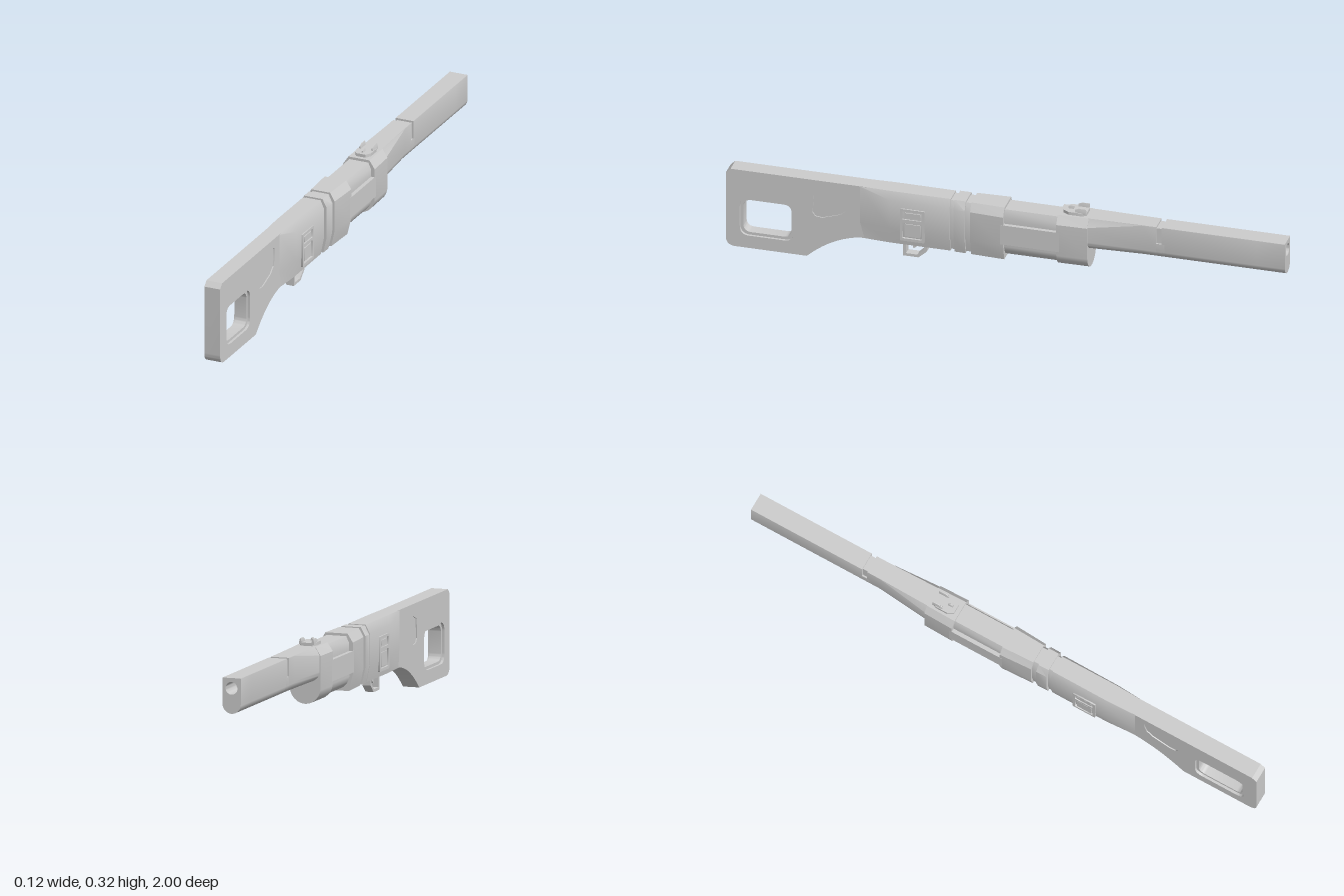
import * as THREE from 'three';
import { toCreasedNormals } from 'three/addons/utils/BufferGeometryUtils.js';

const material = new THREE.MeshStandardMaterial({ color: 0xcccccc });
const V = (p) => p.map(([x, y]) => new THREE.Vector2(x, y));

function add(parent, name, geometry) {
  const mesh = new THREE.Mesh(toCreasedNormals(geometry, 0.5), material);
  mesh.name = name;
  parent.add(mesh);
  return mesh;
}

// Full outline, counter-clockwise, from its +x half listed top to bottom
const mirrorOutline = (half) => [...half].reverse().concat(half.map(([x, y]) => [-x, y]));

// Half outline: sloped shoulder, straight side, then a sloped or round belly
function flatHalf(top, w, yTop, yShoulder, yLow, bottom, yBottom) {
  return [[top, yTop], [w, yShoulder], [w, yLow], [bottom, yBottom]];
}
function arcHalf(w, yLow, yBottom) {
  return Array.from({ length: 10 }, (_, k) => {
    const a = (k / 9) * 1.5;
    return [w * Math.cos(a), yLow - (yLow - yBottom) * Math.sin(a)];
  });
}
function roundHalf(top, w, yTop, yShoulder, yLow, yBottom) {
  return [[top, yTop], [w, yShoulder], ...arcHalf(w, yLow, yBottom)];
}

// Capped loft through [z, halfOutline] sections, ordered from back (+z) to muzzle
function loft(sections) {
  const pos = [], index = [];
  const rings = sections.map(([z, half]) => ({ z, pts: mirrorOutline(half) }));
  const n = rings[0].pts.length;
  rings.forEach(({ z, pts }) => pts.forEach(([x, y]) => pos.push(x, y, z)));
  for (let i = 0; i < rings.length - 1; i++) {
    for (let j = 0; j < n; j++) {
      const a = i * n + j, b = i * n + ((j + 1) % n), c = b + n, d = a + n;
      index.push(a, d, b, b, d, c);
    }
  }
  const last = (rings.length - 1) * n;
  THREE.ShapeUtils.triangulateShape(V(rings[0].pts), []).forEach(([a, b, c]) => index.push(a, b, c));
  THREE.ShapeUtils.triangulateShape(V(rings.at(-1).pts), []).forEach(([a, b, c]) => index.push(last + a, last + c, last + b));
  const g = new THREE.BufferGeometry();
  g.setAttribute('position', new THREE.Float32BufferAttribute(pos, 3));
  g.setIndex(index);
  return g;
}

// Side-profile plate: shape drawn in (z, y), thickness centred on x
function plate(shape, width, x = 0) {
  const g = new THREE.ExtrudeGeometry(shape, { depth: width, bevelEnabled: false, curveSegments: 10 });
  return g.translate(0, 0, -width / 2).rotateY(-Math.PI / 2).translate(x, 0, 0);
}

function roundRect(x0, y0, x1, y1, r, Type = THREE.Shape) {
  const s = new Type();
  s.moveTo(x0 + r, y0);
  s.lineTo(x1 - r, y0).quadraticCurveTo(x1, y0, x1, y0 + r);
  s.lineTo(x1, y1 - r).quadraticCurveTo(x1, y1, x1 - r, y1);
  s.lineTo(x0 + r, y1).quadraticCurveTo(x0, y1, x0, y1 - r);
  s.lineTo(x0, y0 + r).quadraticCurveTo(x0, y0, x0 + r, y0);
  return s;
}

function buildStock(group) {
  const s = new THREE.Shape();
  s.moveTo(0.4, 0.3);
  s.lineTo(0.4, 0.1);
  s.lineTo(0.52, 0.1);
  s.quadraticCurveTo(0.62, 0.085, 0.71, 0);
  s.lineTo(0.965, 0);
  s.quadraticCurveTo(1, 0, 1, 0.035);
  s.lineTo(1, 0.283);
  s.lineTo(0.983, 0.3);
  s.closePath();

  // Cheek recess on both faces, with a rounded kite outline
  const kite = V([[0.565, 0.268], [0.66, 0.255], [0.685, 0.245], [0.69, 0.175], [0.68, 0.16],
    [0.655, 0.157], [0.59, 0.178], [0.565, 0.2], [0.557, 0.23], [0.557, 0.26]]);
  s.holes.push(roundRect(0.757, 0.048, 0.95, 0.193, 0.035, THREE.Path), new THREE.Path(kite));
  add(group, 'stock', plate(s, 0.06));
  add(group, 'cheekRecess', plate(new THREE.Shape(kite), 0.052));

  // Stepped rim inside the grip hole
  const rim = roundRect(0.757, 0.048, 0.95, 0.193, 0.035);
  rim.holes.push(roundRect(0.767, 0.058, 0.94, 0.183, 0.03, THREE.Path));
  add(group, 'gripHoleRim', plate(rim, 0.042));
}

function buildReceiver(group) {
  const sec = (w, inset = 0) =>
    flatHalf(w * 0.68, w, 0.3 - inset, 0.27 - inset, 0.16, w * 0.75, 0.1 + inset);
  add(group, 'rearReceiver', loft([
    [0.52, flatHalf(0.029, 0.03, 0.3, 0.298, 0.16, 0.029, 0.1)],
    [0.41, flatHalf(0.033, 0.045, 0.3, 0.27, 0.16, 0.036, 0.1)],
    [0.195, sec(0.047)]]));
  add(group, 'rearGroove', loft([[0.2, sec(0.041, 0.006)], [0.17, sec(0.041, 0.006)]]));
  add(group, 'band', loft([[0.18, sec(0.051)], [0.14, sec(0.052)]]));
  add(group, 'frontGroove', loft([[0.15, sec(0.044, 0.006)], [0.11, sec(0.044, 0.006)]]));
  add(group, 'middleReceiver', loft([[0.12, sec(0.053)], [0, sec(0.06)]]));

  // Slotted length: a raised side rail between two recesses
  const slotted = [[0.036, 0.291], [0.046, 0.268], [0.046, 0.24], [0.06, 0.24], [0.06, 0.165],
    [0.048, 0.165], ...arcHalf(0.048, 0.16, 0.106)];
  add(group, 'slottedReceiver', loft([[0.01, slotted], [-0.2, slotted]]));
  const nose = roundHalf(0.04, 0.06, 0.3, 0.27, 0.16, 0.1);
  add(group, 'receiverNose', loft([[-0.19, nose], [-0.3, roundHalf(0.038, 0.057, 0.3, 0.27, 0.16, 0.1)]]));
}

function buildBarrel(group) {
  const bar = roundHalf(0.0335, 0.034, 0.3, 0.298, 0.21, 0.175);
  add(group, 'foreEnd', loft([
    [-0.29, roundHalf(0.037, 0.055, 0.3, 0.27, 0.215, 0.175)], [-0.49, bar], [-0.54, bar]]));
  const grooved = [[0.028, 0.293], [0.028, 0.235], [0.034, 0.235], ...arcHalf(0.034, 0.21, 0.175)];
  add(group, 'barrelGroove', loft([[-0.53, grooved], [-0.57, grooved]]));
  add(group, 'barrel', loft([[-0.56, bar], [-0.9, bar]]));

  // Muzzle with an open bore
  const face = new THREE.Shape(V(mirrorOutline(bar)));
  face.holes.push(new THREE.Path().absarc(0, 0.264, 0.022, 0, Math.PI * 2, true));
  const tip = new THREE.ExtrudeGeometry(face, { depth: 0.1, bevelEnabled: false, curveSegments: 20 });
  add(group, 'muzzle', tip.translate(0, 0, -1));
}

function buildSidePorts(group) {
  const frame = roundRect(0.284, 0.122, 0.372, 0.245, 0.004);
  frame.holes.push(roundRect(0.293, 0.205, 0.363, 0.236, 0.003, THREE.Path),
    roundRect(0.293, 0.132, 0.363, 0.194, 0.003, THREE.Path));
  for (const side of [-1, 1]) {
    add(group, 'portFrame', plate(frame, 0.008, side * 0.0465));
    add(group, 'upperPort', plate(roundRect(0.3, 0.211, 0.356, 0.23, 0.002), 0.006, side * 0.046));
    add(group, 'lowerPort', plate(roundRect(0.3, 0.139, 0.356, 0.187, 0.002), 0.006, side * 0.046));
  }
}

function buildTrigger(group) {
  const guard = new THREE.Shape(V([[0.285, 0.105], [0.285, 0.072], [0.315, 0.045], [0.37, 0.045], [0.37, 0.105]]));
  guard.holes.push(new THREE.Path(V([[0.295, 0.1], [0.295, 0.077], [0.319, 0.055], [0.36, 0.055], [0.36, 0.1]])));
  add(group, 'triggerGuard', plate(guard, 0.03));
  const trigger = new THREE.Shape(V([[0.32, 0.105], [0.323, 0.083], [0.334, 0.073], [0.338, 0.077], [0.333, 0.105]]));
  add(group, 'trigger', plate(trigger, 0.012));
}

function buildSight(group) {
  // Octagonal base plate
  const base = new THREE.Shape(V([[-0.03, 0.225], [-0.018, 0.205], [0.018, 0.205], [0.03, 0.225],
    [0.03, 0.27], [0.022, 0.288], [-0.022, 0.288], [-0.03, 0.27]]));
  const g = new THREE.ExtrudeGeometry(base, { depth: 0.013, bevelEnabled: false });
  add(group, 'sightBase', g.rotateX(-Math.PI / 2).translate(0, 0.298, 0));

  // Two pointed ears and a centre post
  const ear = (h, w) => [[w * 0.3, 0.305 + h], [w, 0.305 + h * 0.5], [w, 0.305]];
  for (const x of [-0.023, 0.023]) {
    add(group, 'sightEar', loft([[-0.247, ear(0.014, 0.004)], [-0.26, ear(0.02, 0.004)], [-0.286, ear(0.02, 0.004)]])).position.x = x;
  }
  add(group, 'sightPost', loft([[-0.218, ear(0.012, 0.004)], [-0.225, ear(0.016, 0.004)], [-0.237, ear(0.016, 0.004)]]));
}

export function createModel() {
  const model = new THREE.Group();
  model.name = 'longGun';
  const parts = { stock: buildStock, receiver: buildReceiver, barrel: buildBarrel,
    sidePorts: buildSidePorts, triggerAssembly: buildTrigger, frontSight: buildSight };
  for (const [name, build] of Object.entries(parts)) {
    const group = new THREE.Group();
    group.name = name;
    build(group);
    model.add(group);
  }
  return model;
}
